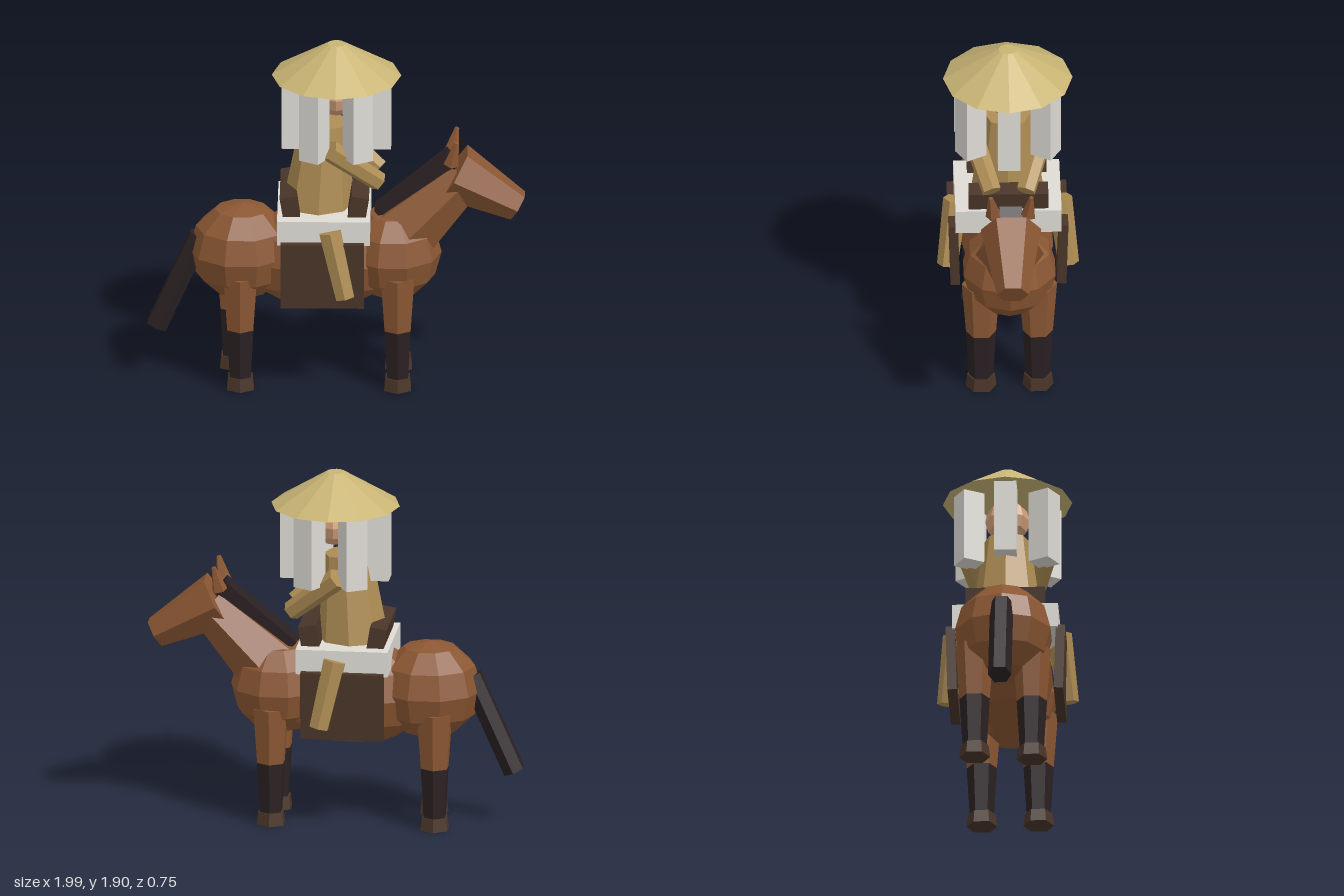
import * as THREE from 'three';

const paint = (name, color) => {
  const m = new THREE.MeshStandardMaterial({ color, flatShading: true });
  m.name = name;
  return m;
};

export function createModel() {
  const coat = paint('chestnut coat', 0x8b5733);
  const dark = paint('dark hair', 0x2a2022);
  const leather = paint('dark leather', 0x4a3528);
  const cloth = paint('pale cloth', 0xdedbd5);
  const robe = paint('tan robe', 0xae8d54);
  const straw = paint('straw', 0xc8b474);
  const skin = paint('skin', 0xd3a07c);

  const model = new THREE.Group();
  model.name = 'riderOnHorse';
  const horse = new THREE.Group();
  horse.name = 'horse';
  const saddle = new THREE.Group();
  saddle.name = 'saddle';
  const rider = new THREE.Group();
  rider.name = 'rider';
  model.add(horse, saddle, rider);

  const add = (group, name, geometry, material, x, y, z) => {
    const mesh = new THREE.Mesh(geometry, material);
    mesh.name = name;
    mesh.position.set(x, y, z);
    group.add(mesh);
    return mesh;
  };
  const ball = (group, name, material, p, r, w = 10) =>
    add(group, name, new THREE.SphereGeometry(1, w, 6), material, ...p).scale.set(...r);
  const box = (group, name, material, p, size, tilt = 0) => {
    const mesh = add(group, name, new THREE.BoxGeometry(...size), material, ...p);
    mesh.rotation.z = tilt;
    return mesh;
  };
  // Tapered cylinder running from point a to point b
  const limb = (group, name, material, a, b, ra, rb, sides = 6) => {
    const from = new THREE.Vector3(...a), to = new THREE.Vector3(...b);
    const dir = to.clone().sub(from);
    const mid = from.clone().add(to).multiplyScalar(0.5);
    const geo = new THREE.CylinderGeometry(rb, ra, dir.length(), sides);
    const mesh = add(group, name, geo, material, mid.x, mid.y, mid.z);
    mesh.quaternion.setFromUnitVectors(new THREE.Vector3(0, 1, 0), dir.normalize());
    return mesh;
  };

  // Horse body, neck and head
  ball(horse, 'barrel', coat, [-0.08, 0.7, 0], [0.47, 0.28, 0.25]);
  ball(horse, 'rump', coat, [-0.5, 0.73, 0], [0.28, 0.265, 0.265]);
  ball(horse, 'chest', coat, [0.3, 0.72, 0], [0.255, 0.255, 0.255]);
  limb(horse, 'neck', coat, [0.32, 0.8, 0], [0.68, 1.15, 0], 0.195, 0.115);
  limb(horse, 'head', coat, [0.622, 1.177, 0], [0.957, 0.985, 0], 0.16, 0.085);
  box(horse, 'mane', dark, [0.42, 1.1, 0], [0.5, 0.09, 0.12], 0.7);
  limb(horse, 'tail', dark, [-0.72, 0.81, 0], [-0.95, 0.29, 0], 0.062, 0.062);

  // Horse legs with dark stockings and hooves
  const legs = [['frontLeg', 0.325, 0.15], ['frontLeg', 0.325, -0.15],
    ['backLeg', -0.505, 0.15], ['backLeg', -0.545, -0.15]];
  for (const [name, x, z] of legs) {
    const leg = new THREE.Group();
    leg.name = name;
    horse.add(leg);
    limb(leg, 'upperLeg', coat, [x, 0.335, z], [x, 0.64, z], 0.079, 0.102);
    limb(leg, 'stocking', dark, [x, 0.065, z], [x, 0.34, z], 0.064, 0.08);
    limb(leg, 'hoof', leather, [x, 0, z], [x, 0.07, z], 0.082, 0.073);
  }

  // Saddle
  box(saddle, 'saddleBlanket', cloth, [-0.065, 0.932, 0], [0.49, 0.135, 0.56]);
  box(saddle, 'pommel', leather, [0.115, 1.03, 0], [0.095, 0.16, 0.42], -0.16);
  box(saddle, 'cantle', leather, [-0.24, 1.03, 0], [0.09, 0.16, 0.42], 0.16);

  // Mirrored parts
  for (const s of [1, -1]) {
    limb(horse, 'ear', coat, [0.605, 1.255, s * 0.092], [0.635, 1.385, s * 0.108], 0.042, 0.012, 5);
    const flap = box(saddle, 'saddleFlap', leather, [-0.07, 0.7, s * 0.286], [0.44, 0.365, 0.05]);
    flap.rotation.x = s * 0.03;
    limb(rider, 'arm', robe, [-0.035, 1.375, s * 0.195], [0.225, 1.155, s * 0.09], 0.06, 0.053);
    limb(rider, 'riderLeg', robe, [-0.03, 0.945, s * 0.275], [0.05, 0.585, s * 0.32], 0.066, 0.055);
  }

  // Rider torso and head
  limb(rider, 'torso', robe, [-0.095, 0.98, 0], [-0.065, 1.465, 0], 0.19, 0.125, 8);
  ball(rider, 'riderHead', skin, [0, 1.62, 0], [0.118, 0.118, 0.118], 8);

  // Wide straw hat with hanging cloth panels
  limb(rider, 'hat', straw, [0, 1.725, 0], [0, 1.905, 0], 0.342, 0.048, 12);
  for (let i = 0; i < 6; i++) {
    const a = (i * Math.PI) / 3;
    const panel = box(rider, 'hatPanel', cloth,
      [0.229 * Math.cos(a), 1.526, 0.229 * Math.sin(a)], [0.12, 0.4, 0.118]);
    panel.rotation.y = -a;
  }

  return model;
}
